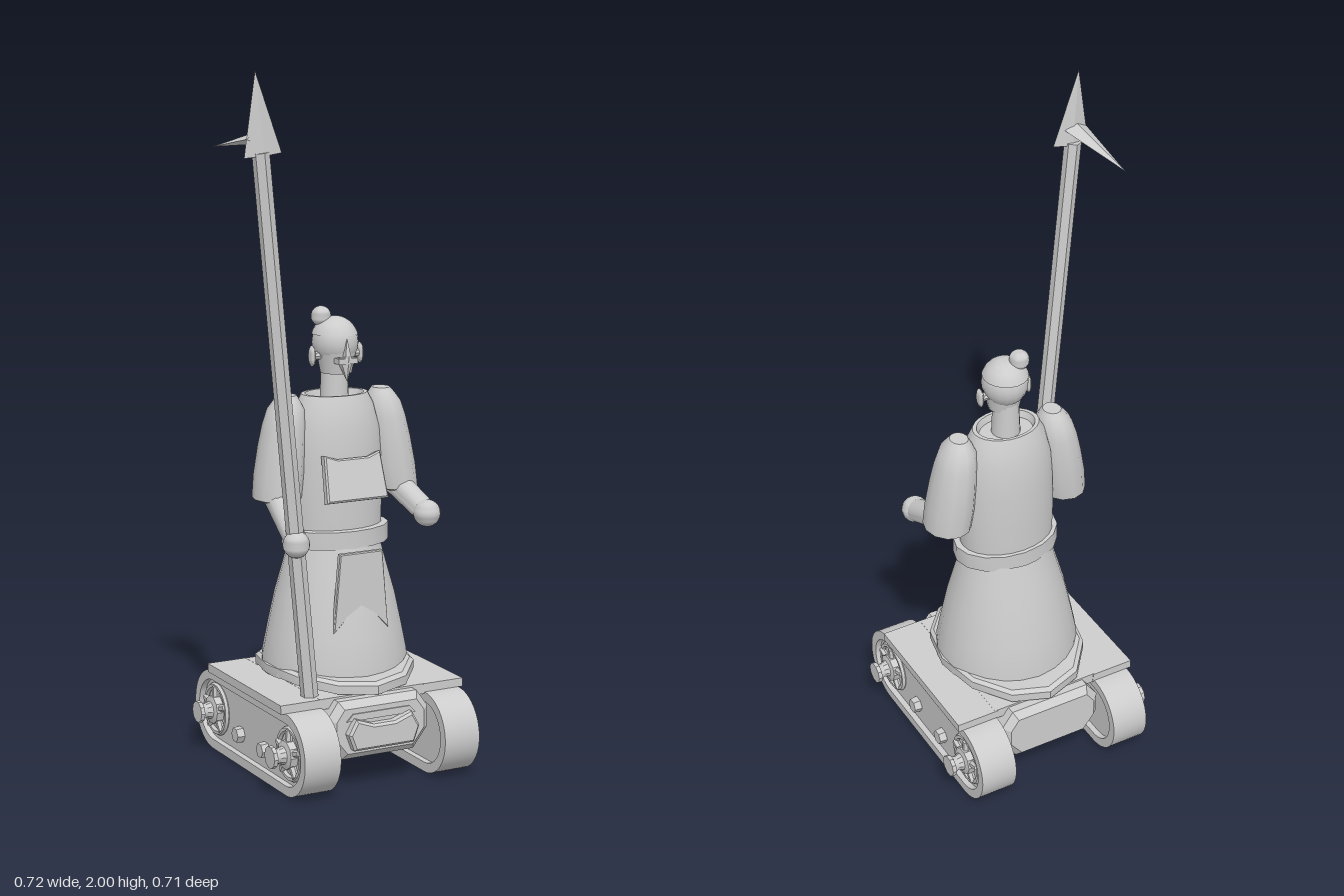
import * as THREE from 'three';
import { toCreasedNormals } from 'three/addons/utils/BufferGeometryUtils.js';

const CX = 0.03; // the figure and chassis share this centre line

export function createModel() {
  const root = new THREE.Group();
  root.name = 'trackedWarrior';
  const stone = new THREE.MeshStandardMaterial({ color: 0xcccccc, side: THREE.DoubleSide });
  stone.name = 'paleStone';
  const V = (x, y, z) => new THREE.Vector3(x, y, z);

  const add = (name, geo, x = 0, y = 0, z = 0, parent = root, crease = 0.6) => {
    const m = new THREE.Mesh(toCreasedNormals(geo, crease), stone);
    m.name = name;
    m.position.set(x, y, z);
    parent.add(m);
    return m;
  };
  // turned profile [radius, y], squashed to an ellipse
  const lathe = (pts, sx = 1, sz = 1, seg = 12) =>
    new THREE.LatheGeometry(pts.map(p => new THREE.Vector2(p[0], p[1])), seg).scale(sx, 1, sz);
  const plate = (pts, depth, bevel = 0) => new THREE.ExtrudeGeometry(
    new THREE.Shape(pts.map(p => new THREE.Vector2(p[0], p[1]))),
    { depth, bevelEnabled: bevel > 0, bevelSize: bevel, bevelThickness: bevel, bevelSegments: 1 });
  const rod = (name, a, b, ra, rb, seg, parent = root) => {
    const m = add(name, new THREE.CylinderGeometry(rb, ra, a.distanceTo(b), seg), 0, 0, 0, parent, seg < 8 ? 0.4 : 0.7);
    m.position.copy(a).add(b).multiplyScalar(0.5);
    m.quaternion.setFromUnitVectors(V(0, 1, 0), b.clone().sub(a).normalize());
    return m;
  };
  const ball = (name, r, x, y, z, parent = root, sx = 1, sy = 1, sz = 1) =>
    add(name, new THREE.SphereGeometry(r, 16, 12).scale(sx, sy, sz), x, y, z, parent, 1);

  // Tracks
  const stadium = (r, half, Type = THREE.Shape) => {
    const s = new Type();
    s.absarc(half, 0, r, -Math.PI / 2, Math.PI / 2, false);
    s.absarc(-half, 0, r, Math.PI / 2, Math.PI * 1.5, false);
    s.closePath();
    return s;
  };
  const across = (shape, width) => new THREE.ExtrudeGeometry(shape,
    { depth: width, bevelEnabled: false, curveSegments: 14 }).translate(0, 0, -width / 2).rotateY(Math.PI / 2);
  for (const side of [-1, 1]) {
    const track = new THREE.Group();
    track.name = side > 0 ? 'leftTrack' : 'rightTrack';
    track.position.set(CX + side * 0.222, 0.118, 0);
    root.add(track);
    const belt = stadium(0.118, 0.237);
    belt.holes.push(stadium(0.09, 0.237, THREE.Path));
    add('trackBelt', across(belt, 0.112), 0, 0, 0, track);
    add('trackPanel', across(stadium(0.091, 0.237), 0.076), 0, 0, 0, track);
    for (const z of [-0.237, 0.237]) {
      const rim = new THREE.TorusGeometry(0.07, 0.009, 6, 24).rotateY(Math.PI / 2);
      add('wheelRim', rim, side * 0.041, 0, z, track, 1);
      for (let i = 0; i < 5; i++) {
        const a = i * Math.PI * 0.4 + Math.PI / 2;
        rod('wheelSpoke', V(side * 0.046, 0, z),
          V(side * 0.046, Math.sin(a) * 0.07, z + Math.cos(a) * 0.07), 0.012, 0.01, 6, track);
      }
      const spool = lathe([[0, 0.035], [0.042, 0.035], [0.042, 0.06], [0.026, 0.064], [0.021, 0.08],
        [0.025, 0.092], [0.032, 0.094], [0.032, 0.106], [0, 0.106]], 1, 1, 10).rotateZ(-side * Math.PI / 2);
      add('wheelHub', spool, 0, 0, z, track);
    }
    for (const z of [-0.08, 0.08]) {
      add('rollerBolt', new THREE.CylinderGeometry(0.022, 0.025, 0.03, 6).rotateZ(-side * Math.PI / 2),
        side * 0.045, -0.033, z, track, 0.4);
    }
    add('fender', new THREE.BoxGeometry(0.13, 0.025, 0.473), CX + side * 0.227, 0.248, -0.001);
  }

  // Chassis hull between the tracks, with a notched nose panel
  add('hull', plate([[-0.115, 0.235], [-0.14, 0.2], [-0.14, 0.15], [-0.105, 0.105],
    [0.105, 0.105], [0.14, 0.15], [0.14, 0.2], [0.115, 0.235]], 0.52, 0.02), CX, 0, -0.26, root, 0.3);
  add('deck', new THREE.BoxGeometry(0.34, 0.03, 0.47), CX, 0.246, 0);
  add('nosePanel', plate([[-0.085, 0.2], [-0.105, 0.165], [-0.09, 0.125], [0.09, 0.125],
    [0.105, 0.165], [0.085, 0.2], [0.035, 0.182], [-0.035, 0.182]], 0.02, 0.007), CX, 0, 0.28, root, 0.3);
  add('nosePanelTop', plate([[-0.09, 0.22], [0.09, 0.22], [0.11, 0.2], [0.03, 0.2], [-0.03, 0.2],
    [-0.11, 0.2]], 0.008), CX, 0, 0.276, root, 0.3);

  // Robe hem, its rim rising slightly at the sides
  const hem = lathe([[0, 0.26], [1, 0.26], [1, 0.285], [0.95, 0.295], [0, 0.295]], 0.218, 0.265);
  const hp = hem.attributes.position;
  for (let i = 0; i < hp.count; i++) hp.setY(i, hp.getY(i) + 0.5 * hp.getX(i) ** 2);
  add('robeHem', hem, CX, 0, 0);

  // Robe, belt and torso
  add('skirt', lathe([[1, 0.28], [0.985, 0.33], [0.92, 0.4], [0.82, 0.5], [0.7, 0.59], [0.61, 0.66]],
    0.215, 0.2, 24).applyMatrix4(new THREE.Matrix4().makeTranslation(CX, 0, 0)));
  add('belt', lathe([[0, 0.65], [1, 0.65], [1, 0.7], [0.93, 0.702], [0, 0.702]], 0.16, 0.12, 16), CX, 0, 0.005);
  add('torso', lathe([[0.142, 0.69], [0.145, 0.8], [0.142, 0.9], [0.136, 0.98], [0.118, 1.045],
    [0.1, 1.08], [0.088, 1.08], [0.08, 1.06], [0, 1.06]], 1, 0.74, 24), CX, 0, 0);

  // Front plates
  const chest = add('chestPlate', plate([[-0.092, 0], [0.092, 0], [0.085, 0.125], [0.05, 0.112],
    [-0.05, 0.112], [-0.085, 0.125]], 0.018, 0.005), CX, 0.792, 0.125, root, 0.3);
  chest.rotation.x = -0.28;
  add('apron', plate([[-0.085, 0.425], [-0.045, 0.465], [0.045, 0.465], [0.085, 0.425],
    [0.065, 0.645], [-0.065, 0.645]], 0.012, 0.003), CX, 0, 0.15, root, 0.3);

  // Head
  const head = new THREE.Group();
  head.name = 'head';
  head.position.x = CX;
  root.add(head);
  add('neck', new THREE.CylinderGeometry(0.037, 0.042, 0.12, 16), 0, 1.11, 0, head);
  ball('skull', 0.066, 0, 1.225, 0.005, head, 1, 1.06, 1.05);
  add('jaw', new THREE.CylinderGeometry(0.062, 0.045, 0.085, 16), 0, 1.182, 0.012, head, 0.8);
  add('hairCap', new THREE.SphereGeometry(0.069, 20, 8, 0, Math.PI * 2, 0, 1.25).scale(1, 1.06, 1.05),
    0, 1.226, 0.002, head, 1);
  add('nose', new THREE.ConeGeometry(0.014, 0.06, 4).rotateY(Math.PI / 4), 0, 1.215, 0.076, head);
  add('moustache', new THREE.BoxGeometry(0.06, 0.016, 0.03), 0, 1.18, 0.07, head);
  const beard = add('beard', new THREE.ConeGeometry(0.026, 0.07, 6).rotateX(Math.PI), 0, 1.155, 0.07, head);
  beard.rotation.x = -0.2;
  for (const s of [-1, 1]) {
    ball('ear', 0.03, s * 0.076, 1.19, 0.01, head, 0.28, 1, 0.6);
    rod('earRoot', V(s * 0.05, 1.19, 0.01), V(s * 0.076, 1.19, 0.01), 0.012, 0.012, 8, head);
  }
  rod('bunTie', V(-0.015, 1.27, -0.01), V(-0.033, 1.3, -0.015), 0.02, 0.016, 10, head);
  ball('hairBun', 0.029, -0.034, 1.298, -0.016, head);

  // Sleeves lean outward from the shoulder caps
  const sleeve = side => {
    const g = lathe([[0, 0.81], [0.05, 0.81], [0.058, 0.79], [0.068, 0.795], [0.07, 0.86], [0.066, 0.94],
      [0.06, 1.0], [0.051, 1.045], [0.036, 1.07], [0.026, 1.084], [0, 1.084]], 1, 1.15, 12);
    const p = g.attributes.position;
    for (let i = 0; i < p.count; i++) {
      const t = (1.084 - p.getY(i)) / 0.29;
      p.setX(i, p.getX(i) + side * 0.038 * t);
      p.setZ(i, p.getZ(i) + 0.008 * t * t);
    }
    add(side > 0 ? 'leftSleeve' : 'rightSleeve', g, CX + side * 0.15, 0, 0, root, 0.8);
  };
  sleeve(1);
  sleeve(-1);
  rod('leftForearm', V(0.218, 0.81, 0.01), V(0.235, 0.745, 0.165), 0.038, 0.034, 14);
  ball('leftHand', 0.039, 0.235, 0.742, 0.175);
  rod('rightForearm', V(-0.165, 0.81, 0.01), V(-0.19, 0.71, 0.19), 0.038, 0.032, 14);
  ball('rightHand', 0.038, -0.197, 0.705, 0.205);

  // Polearm
  rod('spearShaft', V(-0.145, 0.24, 0.186), V(-0.307, 1.785, 0.218), 0.025, 0.024, 6);
  const tip = add('spearTip', new THREE.ConeGeometry(0.056, 0.225, 4).scale(1, 1, 0.22), -0.313, 1.889, 0.221, root, 0.2);
  tip.rotation.z = 0.1;
  const blade = add('sideBlade', new THREE.ConeGeometry(0.037, 0.225, 4).scale(1, 1, 0.45).rotateX(-Math.PI / 2),
    -0.33, 1.806, 0.11, root, 0.2);
  blade.rotation.set(-0.17, 0.13, 0.1);
  return root;
}
